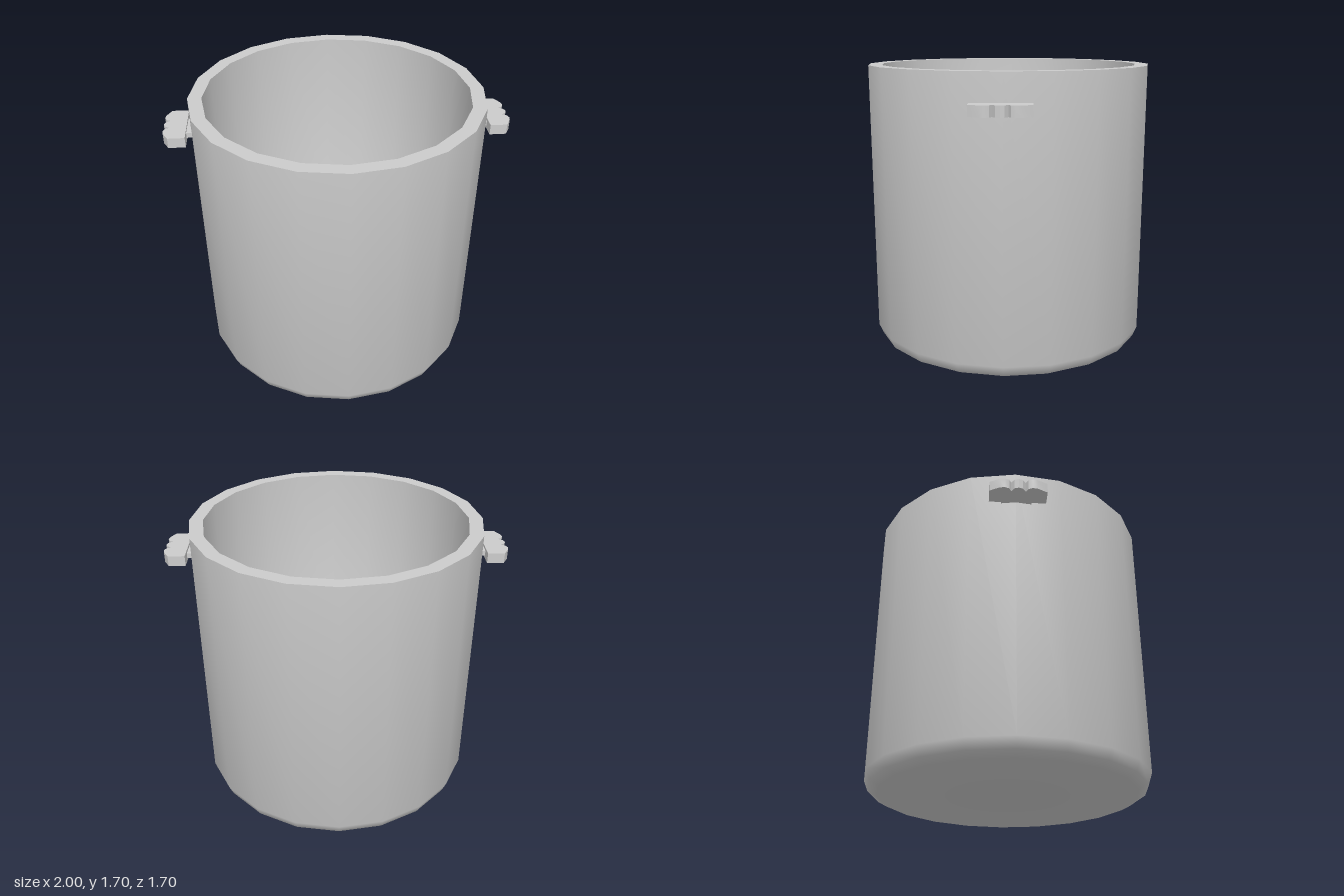
import * as THREE from 'three';
import { toCreasedNormals } from 'three/addons/utils/BufferGeometryUtils.js';

const grey = new THREE.MeshStandardMaterial({ color: 0xcccccc });

function addMesh(parent, name, geometry) {
  const mesh = new THREE.Mesh(geometry, grey);
  mesh.name = name;
  parent.add(mesh);
  return mesh;
}

// Flat plate drawn in x/z, with its thickness running up from y0 to y1
function plate(points, y0, y1) {
  const shape = new THREE.Shape(points.map(([x, z]) => new THREE.Vector2(x, -z)));
  const geometry = new THREE.ExtrudeGeometry(shape, { depth: y1 - y0, bevelEnabled: false });
  return geometry.rotateX(-Math.PI / 2).translate(0, y0, 0);
}

// Side handle on the +x side (dir = 1) or the -x side (dir = -1)
function createHandle(dir) {
  const handle = new THREE.Group();
  handle.name = dir > 0 ? 'leftHandle' : 'rightHandle';

  // Grip with three finger-shaped bumps along the outer edge
  const outline = [
    [0.868, -0.155], [0.965, -0.155], [0.995, -0.1], [1, -0.07], [0.99, -0.045],
    [0.966, -0.033], [0.992, -0.015], [1, 0.008], [0.992, 0.031],
    [0.966, 0.049], [0.99, 0.062], [1, 0.087], [0.995, 0.115], [0.965, 0.172], [0.868, 0.172],
  ];
  const mirrored = (pts) => pts.map(([x, z]) => [x * dir, z]);
  addMesh(handle, 'handleGrip', toCreasedNormals(plate(mirrored(outline), 1.485, 1.545), 0.6));

  // Short bracket joining the grip to the wall
  const bracket = new THREE.BoxGeometry(0.06, 0.03, 0.175);
  addMesh(handle, 'handleBracket', bracket).position.set(dir * 0.858, 1.515, 0.004);
  return handle;
}

export function createModel() {
  const model = new THREE.Group();
  model.name = 'cookingPot';

  // Pot body: rounded base, outer wall, flat rim, inner wall and floor
  const profile = [
    [0, 0], [0.77, 0], [0.825, 0.03], [0.85, 0.09], [0.85, 1.7],
    [0.77, 1.7], [0.77, 0.15], [0.75, 0.1], [0.7, 0.08], [0, 0.08],
  ].map(([r, y]) => new THREE.Vector2(r, y));
  addMesh(model, 'potBody', toCreasedNormals(new THREE.LatheGeometry(profile, 20), 0.75));

  model.add(createHandle(1), createHandle(-1));
  return model;
}
